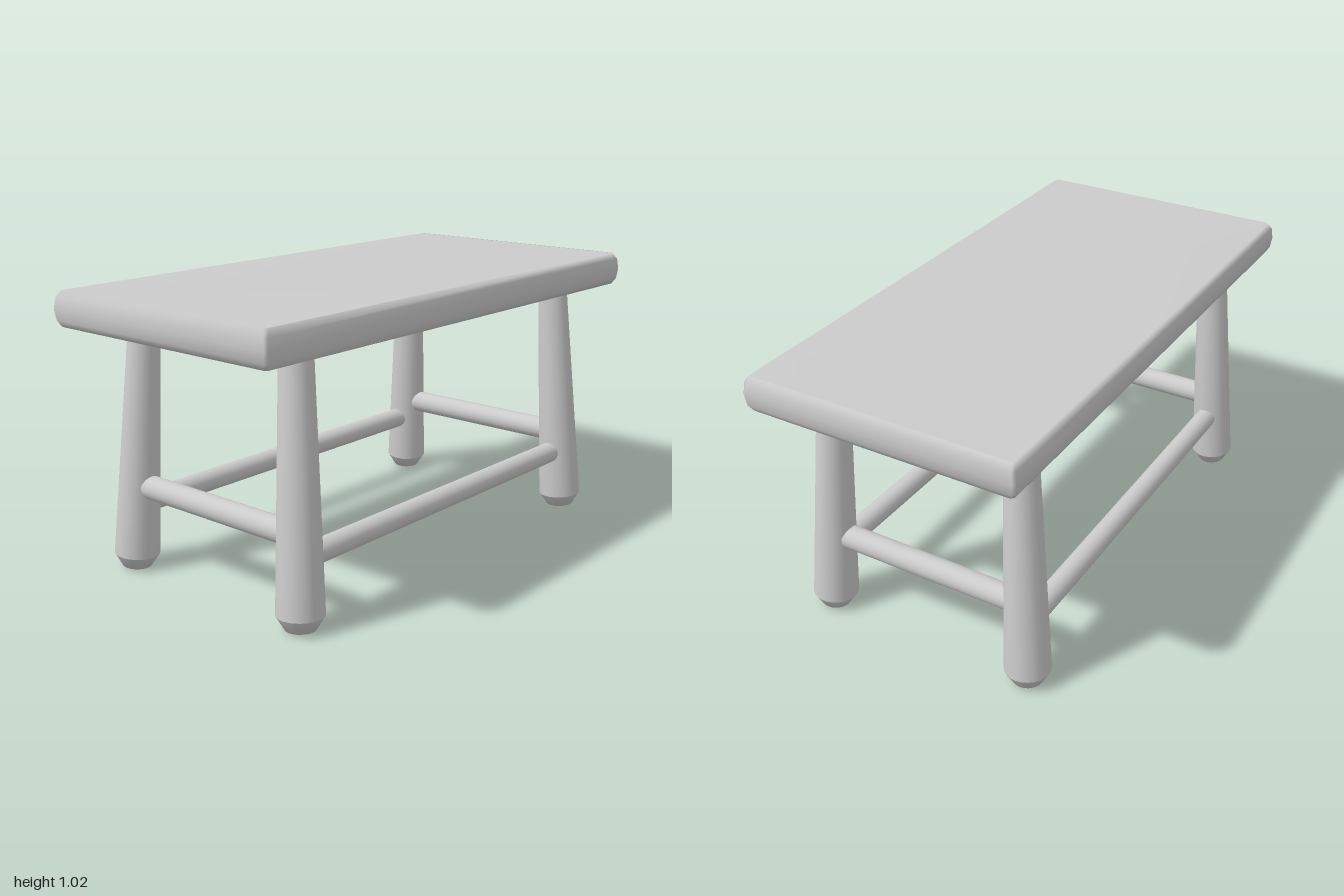
import * as THREE from 'three';
import { mergeGeometries } from 'three/addons/utils/BufferGeometryUtils.js';

const material = new THREE.MeshStandardMaterial({ color: 0xcccccc });
const UP = new THREE.Vector3(0, 1, 0);

// Centre line of a splayed leg at height y, for the corner with signs sx, sz
const legPoint = (y, sx, sz) =>
  new THREE.Vector3(sx * (0.778 - 0.053 * y), y, sz * (0.406 - 0.054 * y));

// Smooth slab lofted through rounded rectangles, from bottom to top
function slabGeometry(sections, corner) {
  const positions = [], index = [], n = 8;
  for (const [x, y, z] of sections) {
    for (const [sx, sz] of [[1, 1], [1, -1], [-1, -1], [-1, 1]]) {
      const pair = [
        [sx * (x - corner), y, sz * z],
        [sx * x, y, sz * (z - corner)],
      ];
      if (sx * sz < 0) pair.reverse();
      positions.push(...pair.flat());
    }
  }
  for (let i = 0; i < sections.length - 1; i++) {
    for (let j = 0; j < n; j++) {
      const a = i * n + j, b = i * n + (j + 1) % n;
      index.push(a, b, b + n, a, b + n, a + n);
    }
  }
  const top = (sections.length - 1) * n;
  for (let j = 1; j < n - 1; j++) {
    index.push(0, j + 1, j, top, top + j, top + j + 1);
  }
  const geometry = new THREE.BufferGeometry();
  geometry.setAttribute('position', new THREE.Float32BufferAttribute(positions, 3));
  geometry.setIndex(index);
  geometry.computeVertexNormals();
  return geometry;
}

// Tapered shaft and a separate foot, so the edge between them stays crisp
function legGeometry() {
  const lathe = (points) =>
    new THREE.LatheGeometry(points.map(([r, y]) => new THREE.Vector2(r, y)), 24);
  return mergeGeometries([
    lathe([[0.081, 0.05], [0.055, 0.91], [0, 0.91]]),
    lathe([[0, 0], [0.052, 0.002], [0.081, 0.05]]),
  ]);
}

// Round rail between two points
function rail(name, from, to, radius) {
  const direction = to.clone().sub(from);
  const mesh = new THREE.Mesh(
    new THREE.CylinderGeometry(radius, radius, direction.length(), 20), material);
  mesh.position.copy(from).add(to).multiplyScalar(0.5);
  mesh.quaternion.setFromUnitVectors(UP, direction.normalize());
  mesh.name = name;
  return mesh;
}

export function createModel() {
  const table = new THREE.Group();
  table.name = 'table';

  // Top with softened, slightly bulging edges
  const tableTop = new THREE.Mesh(slabGeometry([
    [0.982, 0.9, 0.482],
    [0.995, 0.922, 0.495],
    [1, 0.961, 0.5],
    [0.995, 1, 0.495],
    [0.982, 1.022, 0.482],
  ], 0.01), material);
  tableTop.name = 'tableTop';
  table.add(tableTop);

  // Four splayed legs
  const geometry = legGeometry();
  for (const sx of [-1, 1]) {
    for (const sz of [-1, 1]) {
      const leg = new THREE.Mesh(geometry, material);
      const foot = legPoint(0.004, sx, sz);
      leg.position.copy(foot);
      leg.quaternion.setFromUnitVectors(UP, legPoint(0.9, sx, sz).sub(foot).normalize());
      leg.name = (sz > 0 ? 'front' : 'back') + (sx > 0 ? 'Left' : 'Right') + 'Leg';
      table.add(leg);
    }
  }

  // Long stretchers sit lower than the short ones
  for (const s of [-1, 1]) {
    table.add(rail(s > 0 ? 'frontStretcher' : 'backStretcher',
      legPoint(0.237, -1, s), legPoint(0.237, 1, s), 0.04));
    table.add(rail(s > 0 ? 'leftStretcher' : 'rightStretcher',
      legPoint(0.312, s, -1), legPoint(0.312, s, 1), 0.043));
  }
  return table;
}
